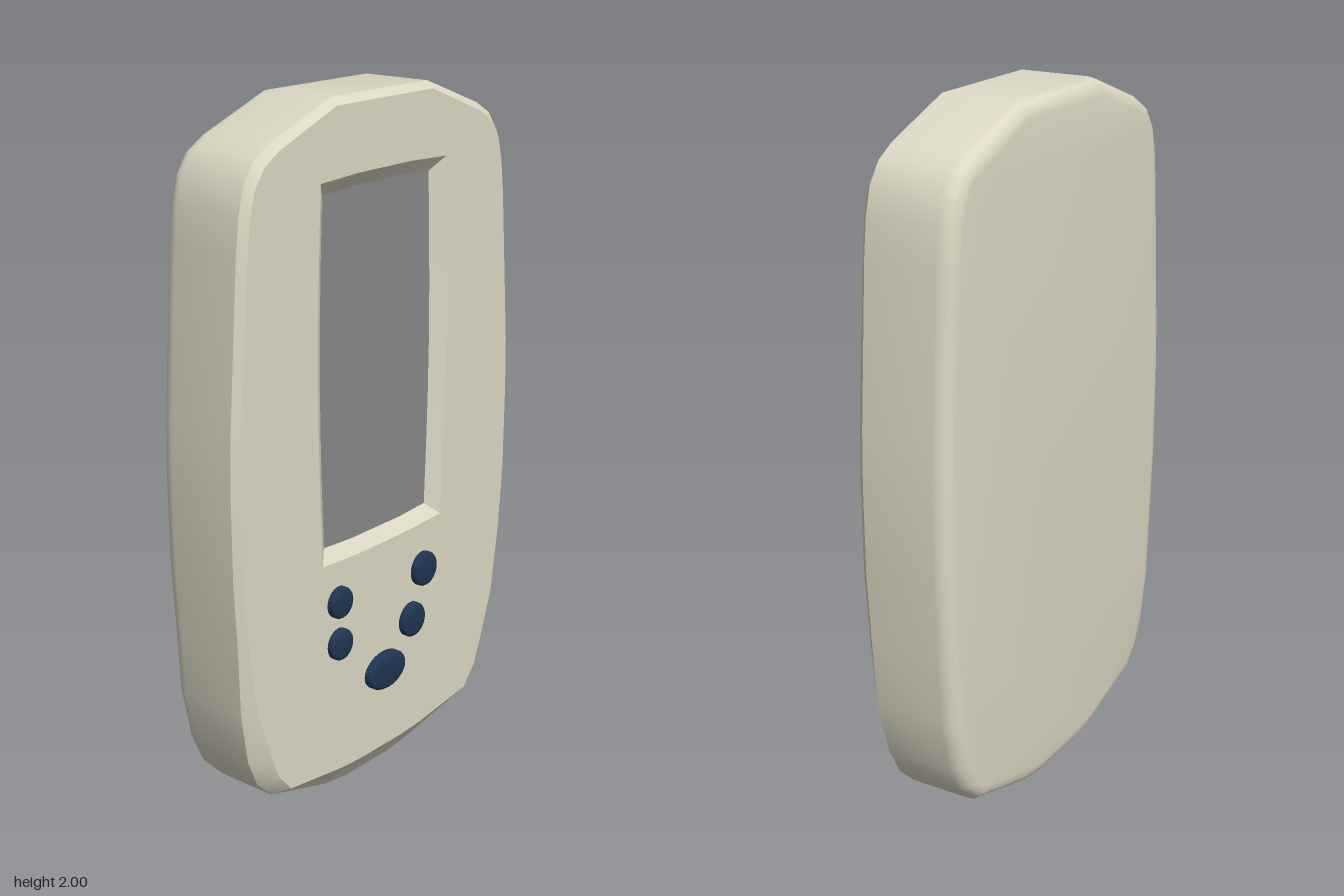
import * as THREE from 'three';
import { mergeGeometries, toCreasedNormals } from 'three/addons/utils/BufferGeometryUtils.js';

const FRONT = 0.125, BACK = -0.15, SCREEN = 0.095;

// right half of the case, top to bottom: outline x, y, front face x, y, depth of the chamfer edge
const HALF = [
  [0.2, 2.0, 0.2, 1.98, 0.105], [0.43, 1.915, 0.42, 1.895, 0.105], [0.49, 1.88, 0.475, 1.86, 0.105],
  [0.53, 1.825, 0.512, 1.81, 0.105], [0.55, 1.75, 0.53, 1.74, 0.105], [0.562, 1.65, 0.542, 1.645, 0.105],
  [0.595, 1.2, 0.578, 1.2, 0.105], [0.6, 1.05, 0.582, 1.05, 0.105], [0.598, 0.8, 0.58, 0.8, 0.105],
  [0.585, 0.6, 0.564, 0.6, 0.104], [0.574, 0.4, 0.535, 0.4, 0.1], [0.54, 0.24, 0.485, 0.25, 0.09],
  [0.5, 0.155, 0.455, 0.175, 0.085], [0.44, 0.095, 0.405, 0.115, 0.08], [0.2, 0.02, 0.18, 0.085, 0.072],
  [0.1, 0.005, 0.09, 0.08, 0.07],
];

// mirror a right half into a closed ring, clockwise from the front
const mirrored = (half) => [...half, ...half.slice().reverse().map(([x, y, z]) => [-x, y, z])];

// move a ring inwards by d and place it at depth z
function inset(ring, d, z) {
  const n = ring.length;
  return ring.map(([x, y], i) => {
    const p = ring[(i + n - 1) % n], q = ring[(i + 1) % n];
    const tx = q[0] - p[0], ty = q[1] - p[1], l = Math.hypot(tx, ty);
    return [x + (ty / l) * d, y - (tx / l) * d, z];
  });
}

// skin between consecutive rings
function loft(rings) {
  const n = rings[0].length, index = [];
  for (let k = 0; k < rings.length - 1; k++) {
    for (let i = 0; i < n; i++) {
      const j = (i + 1) % n, a = k * n, b = a + n;
      index.push(a + i, b + i, a + j, a + j, b + i, b + j);
    }
  }
  const g = new THREE.BufferGeometry();
  g.setAttribute('position', new THREE.Float32BufferAttribute(rings.flat(2), 3));
  g.setIndex(index);
  return g.toNonIndexed();
}

// flat cap over a ring, with an optional hole
function cap(ring, z, hole, faceBack = false) {
  const points = (r) => r.map(([x, y]) => new THREE.Vector2(x, y));
  const shape = new THREE.Shape(points(ring));
  if (hole) shape.holes.push(new THREE.Path(points(hole)));
  const g = new THREE.ShapeGeometry(shape).toNonIndexed();
  g.deleteAttribute('uv');
  g.deleteAttribute('normal');
  if (faceBack) g.rotateY(Math.PI);
  return g.translate(0, 0, z);
}

// window outline with slightly bowed sides
function windowRing(endX, midX, bottom, top, z) {
  const half = [[0.11, top + 0.007, z]];
  for (let i = 0; i <= 6; i++) {
    const t = i / 6;
    half.push([endX + (midX - endX) * Math.sin(Math.PI * t), top + (bottom - top) * t, z]);
  }
  half.push([0.11, bottom - 0.007, z]);
  return mirrored(half);
}

export function createModel() {
  const group = new THREE.Group();
  const cream = new THREE.MeshStandardMaterial({ color: 0xdcd8c4 });
  const grey = new THREE.MeshStandardMaterial({ color: 0x888888 });
  const navy = new THREE.MeshStandardMaterial({ color: 0x1f3552 });
  const add = (name, geometry, material) => {
    const mesh = new THREE.Mesh(geometry, material);
    mesh.name = name;
    group.add(mesh);
    return mesh;
  };

  const outline = mirrored(HALF.map(([x, y, , , z]) => [x, y, z]));
  const face = mirrored(HALF.map(([, , x, y]) => [x, y, FRONT]));
  const frameOuter = windowRing(0.265, 0.28, 0.735, 1.79, FRONT);
  const frameInner = windowRing(0.225, 0.238, 0.772, 1.75, SCREEN);

  // case: rounded back edge, straight sides, chamfered front
  const r = 0.045, rings = [];
  for (let i = 0; i <= 4; i++) {
    const a = (i / 4) * Math.PI / 2;
    rings.push(inset(outline, r * (1 - Math.sin(a)), BACK + r * (1 - Math.cos(a))));
  }
  const shell = mergeGeometries([
    loft([...rings, outline, face]),
    cap(rings[0], BACK, null, true),
    cap(face, FRONT, frameOuter),
  ]);
  add('case', toCreasedNormals(shell, 0.45), cream);

  // sloping window frame and the screen at its bottom
  add('screenFrame', toCreasedNormals(loft([frameOuter, frameInner]), 0.45), cream);
  const screen = cap(frameInner, SCREEN);
  screen.computeVertexNormals();
  add('screen', screen, grey);

  // buttons: x, y, half width, half height, height above the face
  const buttons = [
    ['upperRightButton', -0.2, 0.612, 0.046, 0.046, 0.021],
    ['lowerRightButton', -0.2, 0.485, 0.046, 0.046, 0.021],
    ['upperLeftButton', 0.18, 0.59, 0.052, 0.052, 0.021],
    ['lowerLeftButton', 0.126, 0.446, 0.052, 0.052, 0.021],
    ['ovalButton', 0, 0.331, 0.083, 0.056, 0.025],
  ];
  const profile = [[1, -0.3], [1, 0.65], [0.94, 0.88], [0.8, 1], [0, 1]];
  const buttonShape = toCreasedNormals(
    new THREE.LatheGeometry(profile.map(([x, y]) => new THREE.Vector2(x, y)), 28), 0.9);
  buttonShape.rotateX(Math.PI / 2);
  for (const [name, x, y, w, h, d] of buttons) {
    const button = add(name, buttonShape, navy);
    button.position.set(x, y, FRONT);
    button.scale.set(w, h, d);
  }
  return group;
}
